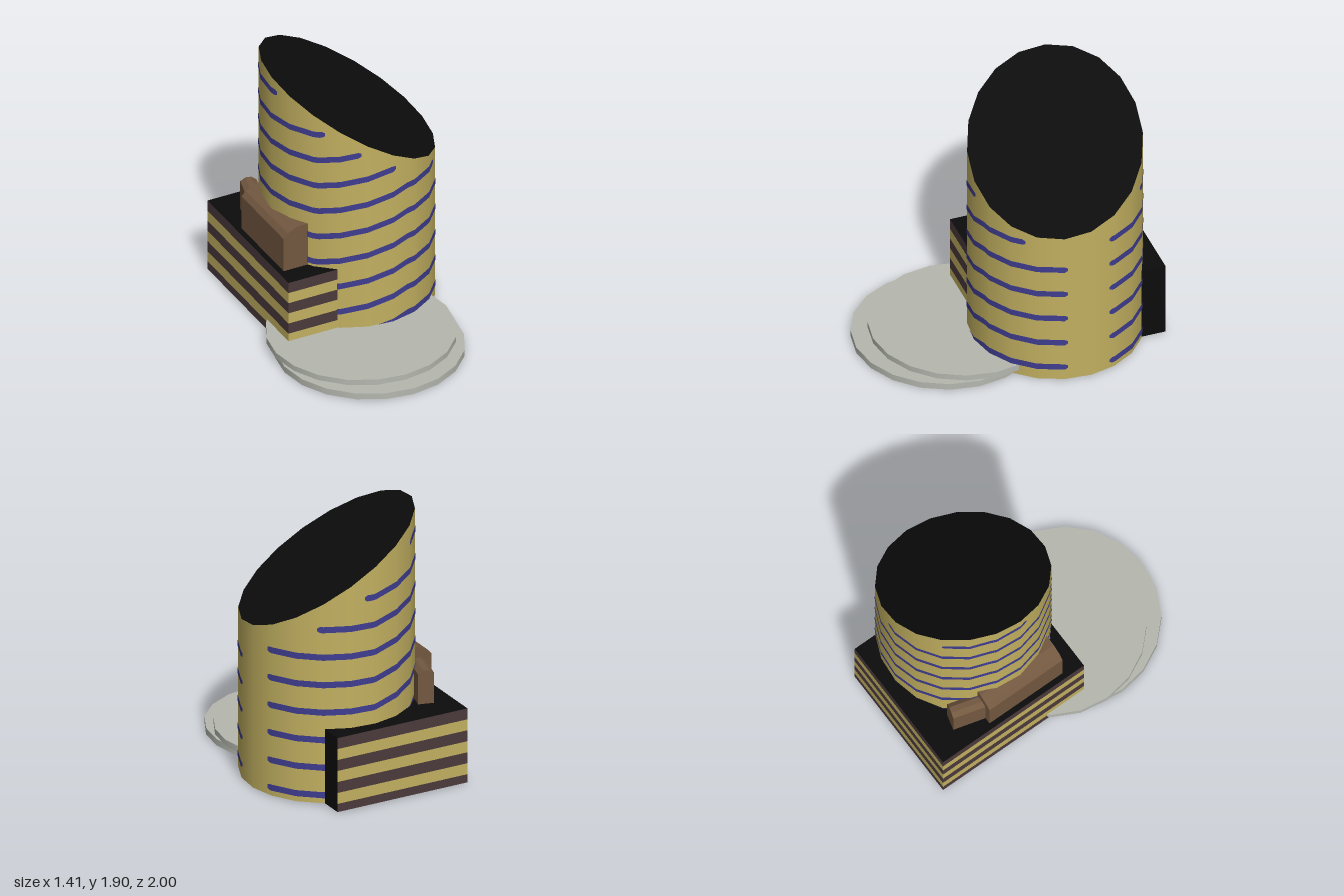
import * as THREE from 'three';

const mat = (name, color) => Object.assign(new THREE.MeshStandardMaterial({ color }), { name });
const gold = mat('gold', 0xc2b060);
const blue = mat('blue', 0x3f3d90);
const plum = mat('dark plum', 0x4b3a3c);
const brown = mat('brown', 0x735840);
const black = mat('black', 0x0c0c0c);
const grey = mat('pale grey', 0xb5b8af);

// Tower: twenty-sided cylinder cut by a slanted plane
const CX = 0.12, CZ = -0.33, R = 0.585;
const rim = (x, z) => 1.525 - 0.607 * (x - CX) - 0.207 * (z - CZ);
const rad = THREE.MathUtils.degToRad;

function add(group, name, geometry, material) {
  const mesh = new THREE.Mesh(geometry, material);
  mesh.name = name;
  group.add(mesh);
  return mesh;
}

function towerGeometry() {
  const g = new THREE.CylinderGeometry(R, R, 1, 20, 1, false, rad(4));
  g.translate(CX, 0.5, CZ);
  const p = g.attributes.position, n = g.attributes.normal;
  const up = new THREE.Vector3(0.607, 1, 0.207).normalize();
  for (let i = 0; i < p.count; i++) {
    p.setY(i, p.getY(i) > 0.5 ? rim(p.getX(i), p.getZ(i)) : 0.006);
    if (n.getY(i) > 0.5) n.setXYZ(i, up.x, up.y, up.z);
  }
  return g;
}

// Point just outside the tower wall; angle runs from +x towards +z
function wall(deg) {
  const local = (((deg + 4) % 18) + 18) % 18 - 9;
  const r = R * Math.cos(rad(9)) / Math.cos(rad(local)) + 0.004;
  return [CX + r * Math.cos(rad(deg)), CZ + r * Math.sin(rad(deg))];
}

// Each stripe is level, then steps down twice on its way round
function stripeHeight(k, deg) {
  const step = (a, b) => THREE.MathUtils.clamp((deg - a) / (b - a), 0, 1);
  return 0.107 + 0.1985 * k - 0.12 * (step(74, 136) + step(198, 268));
}

function stripeGeometry(k) {
  const pos = [], nor = [], idx = [];
  const h = 0.022;
  const fits = (deg) => {
    const [x, z] = wall(deg), y = stripeHeight(k, deg);
    const margin = deg < 200 ? 0.075 : 0.075 + 0.08 * Math.min(1, (deg - 200) / 50);
    return deg >= 12 && deg <= 342 && y > 0.026 && y < rim(x, z) - margin;
  };
  for (let deg = 12; deg <= 342; deg += 2) {
    const [x, z] = wall(deg), y = stripeHeight(k, deg);
    const half = fits(deg - 2) && fits(deg + 2) ? h : h * 0.5;
    const i = pos.length / 3;
    pos.push(x, y - half, z, x, y + half, z);
    for (let j = 0; j < 2; j++) nor.push(Math.cos(rad(deg)), 0, Math.sin(rad(deg)));
    if (fits(deg) && fits(deg + 2)) idx.push(i + 2, i, i + 1, i + 2, i + 1, i + 3);
  }
  const g = new THREE.BufferGeometry();
  g.setAttribute('position', new THREE.Float32BufferAttribute(pos, 3));
  g.setAttribute('normal', new THREE.Float32BufferAttribute(nor, 3));
  g.setIndex(idx);
  return g;
}

// Prism with an x-y outline, running back from z = 0
function prism(outline, length) {
  const shape = new THREE.Shape(outline.map(([x, y]) => new THREE.Vector2(x, y)));
  return new THREE.ExtrudeGeometry(shape, { depth: length, bevelEnabled: false }).translate(0, 0, -length);
}

export function createModel() {
  const model = new THREE.Group();
  model.name = 'slantedTower';

  const tower = new THREE.Group();
  tower.name = 'tower';
  model.add(tower);
  add(tower, 'towerBody', towerGeometry(), [gold, black, black]);
  for (let k = 0; k < 10; k++) add(tower, 'towerStripe', stripeGeometry(k), blue);

  // Annex: banded block, plain black on its right-hand end, top and bottom
  const annex = new THREE.Group();
  annex.name = 'annex';
  model.add(annex);
  const edges = [0.54, 0.461, 0.382, 0.303, 0.223, 0.144, 0.065, 0.006];
  for (let i = 0; i < 7; i++) {
    const m = i % 2 ? gold : plum;
    const g = new THREE.BoxGeometry(0.99, edges[i] - edges[i + 1], 1.155);
    add(annex, 'annexBand', g, [black, m, black, black, m, m])
      .position.set(-0.075, (edges[i] + edges[i + 1]) / 2, -0.4225);
  }

  // Roof structure: long rounded hall and a smaller turned wing behind it
  const hall = prism([[-0.53, 0.54], [-0.3, 0.54], [-0.3, 0.86], [-0.43, 0.86], [-0.5, 0.825], [-0.53, 0.79]], 0.6);
  add(model, 'roofHall', hall, brown).position.z = 0.01;
  const wing = prism([[-0.055, 0.54], [0.055, 0.54], [0.055, 0.755], [0.02, 0.78], [-0.02, 0.78], [-0.055, 0.755]], 0.32);
  const wingMesh = add(model, 'roofWing', wing, brown);
  wingMesh.position.set(-0.455, 0, -0.487);
  wingMesh.rotation.y = rad(-15);

  // Two overlapping paving discs
  const disc = (name, y0, y1, z) => {
    const g = new THREE.CylinderGeometry(0.635, 0.635, y1 - y0, 20);
    add(model, name, g, grey).position.set(-0.075, (y0 + y1) / 2, z);
  };
  disc('lowerDisc', 0, 0.045, 0.365);
  disc('upperDisc', 0.04, 0.085, 0.245);

  return model;
}
